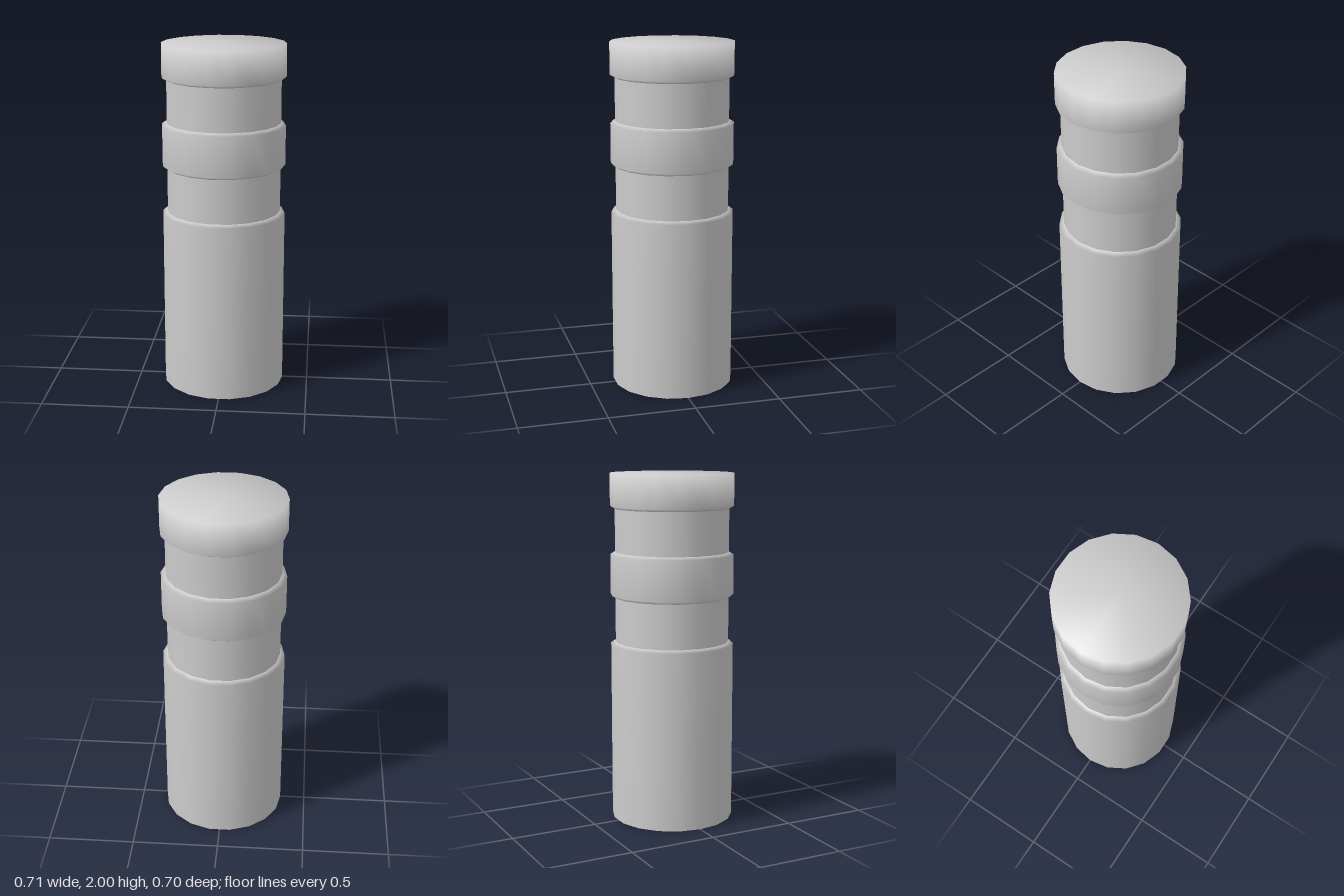
import * as THREE from 'three';

const SIDES = 18;
const R = 0.353; // outer radius
const G = 0.326; // groove radius

export function createModel() {
  const group = new THREE.Group();
  const material = new THREE.MeshStandardMaterial({ color: 0xcccccc, side: THREE.DoubleSide });

  // Each section is smooth in itself, with a sharp edge where two sections meet
  const addSection = (name, profile) => {
    const points = profile.map(([r, y]) => new THREE.Vector2(r, y));
    const mesh = new THREE.Mesh(new THREE.LatheGeometry(points, SIDES, Math.PI / 2), material);
    mesh.name = name;
    group.add(mesh);
  };

  // Long lower barrel, open at the bottom, bevelled at the top
  addSection('barrel', [[R, 0], [R, 1.025], [G, 1.04]]);
  addSection('lowerGroove', [[G, 1.04], [G, 1.295]]);
  // Raised ring, bevelled on both edges
  addSection('middleRing', [[G, 1.295], [R, 1.312], [R, 1.54], [G, 1.555]]);
  addSection('upperGroove', [[G, 1.555], [G, 1.8]]);
  // Head with a flat closed top, shaded smoothly over the rim
  addSection('head', [[G, 1.8], [R, 1.815], [R, 2], [0, 2]]);

  return group;
}
